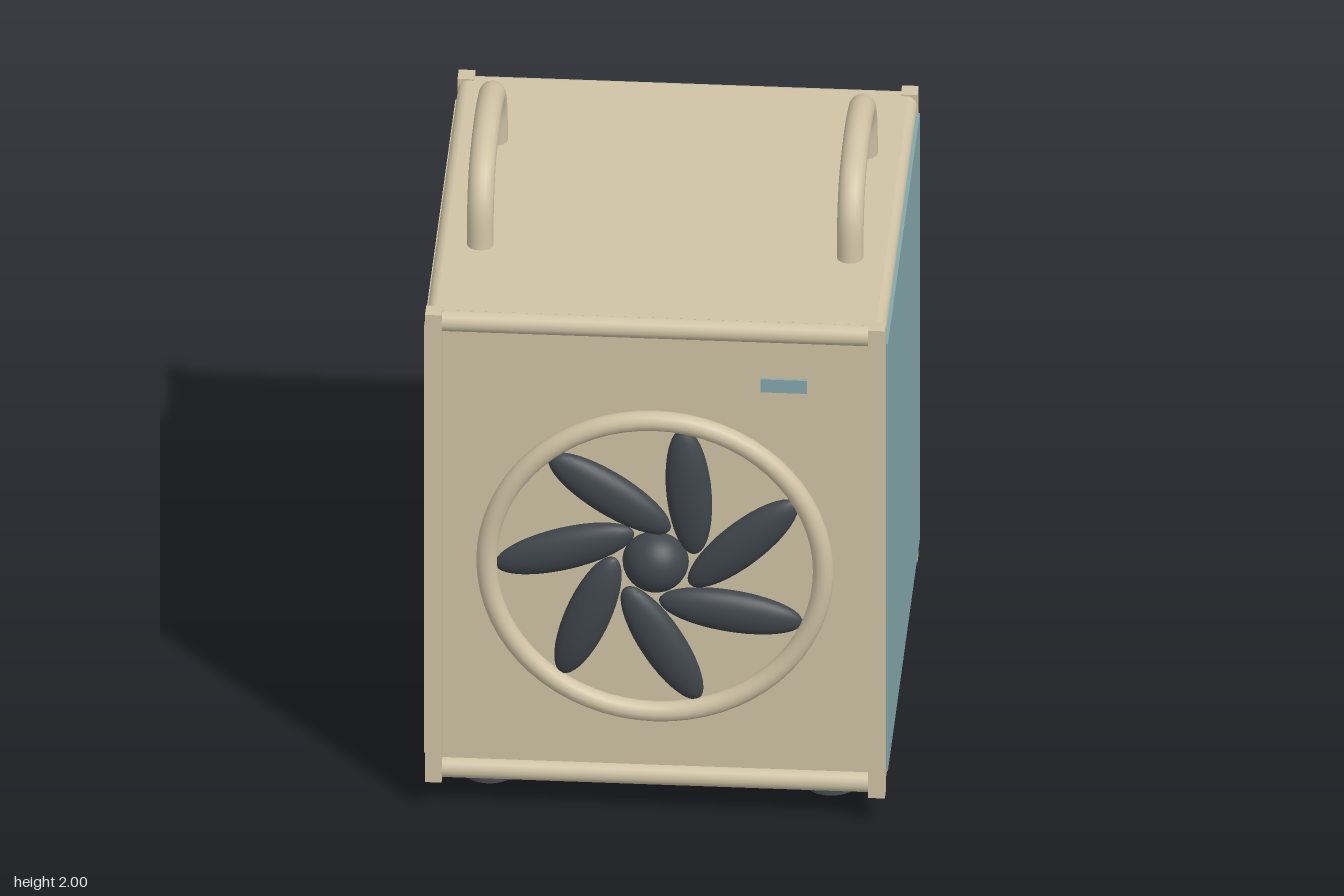
import * as THREE from 'three';

export function createModel() {
  const model = new THREE.Group();
  model.name = 'fanHeater';
  const makeMaterial = (name, color) => {
    const m = new THREE.MeshStandardMaterial({ color });
    m.name = name;
    return m;
  };
  const beige = makeMaterial('beige', 0xcfc3a5);
  const teal = makeMaterial('teal', 0x84a7ab);
  const dark = makeMaterial('charcoal', 0x3f454a);

  const add = (name, geometry, material, x = 0, y = 0, z = 0, parent = model) => {
    const mesh = new THREE.Mesh(geometry, material);
    mesh.name = name;
    mesh.position.set(x, y, z);
    parent.add(mesh);
    return mesh;
  };
  // Box given by its minimum and maximum on each axis
  const addBox = (name, material, [x0, x1], [y0, y1], [z0, z1]) =>
    add(name, new THREE.BoxGeometry(x1 - x0, y1 - y0, z1 - z0), material,
      (x0 + x1) / 2, (y0 + y1) / 2, (z0 + z1) / 2);

  // Case: recessed core, top and bottom plates, back panel
  addBox('caseCore', beige, [-0.66, 0.66], [0.12, 1.68], [-0.72, 0.66]);
  addBox('topPlate', beige, [-0.66, 0.66], [1.66, 1.71], [-0.715, 0.655]);
  addBox('bottomPlate', beige, [-0.66, 0.66], [0.093, 0.14], [-0.715, 0.655]);
  addBox('backPanel', beige, [-0.64, 0.64], [0.1, 1.66], [-0.749, -0.71]);
  addBox('leftPanel', teal, [0.65, 0.696], [0.16, 1.645], [-0.71, 0.65]);
  addBox('rightPanel', beige, [-0.696, -0.65], [0.16, 1.645], [-0.69, 0.64]);

  // Square corner posts
  for (const x of [-0.69, 0.64]) {
    for (const z of [-0.75, 0.64]) {
      addBox('cornerPost', beige, [x, x + 0.05], [0.09, 1.715], [z, z + 0.055]);
    }
  }

  // Round edge rails between the posts
  const railX = new THREE.CylinderGeometry(0.033, 0.033, 1.3, 24).rotateZ(Math.PI / 2);
  const railZ = new THREE.CylinderGeometry(0.033, 0.033, 1.36, 24).rotateX(Math.PI / 2);
  for (const y of [0.126, 1.677]) {
    for (const z of [-0.715, 0.657]) add('crossRail', railX, beige, 0, y, z);
    for (const x of [-0.656, 0.656]) add('sideRail', railZ, beige, x, y, -0.03);
  }

  // Fan: guard ring, hub and seven swept blades
  const fan = new THREE.Group();
  fan.name = 'fan';
  fan.position.set(0, 0.87, 0);
  model.add(fan);
  add('guardRing', new THREE.TorusGeometry(0.505, 0.031, 16, 64), beige, 0, 0, 0.694, fan);
  add('hub', new THREE.SphereGeometry(0.1, 32, 20), dark, 0, 0, 0.655, fan);
  const bladeGeometry = new THREE.SphereGeometry(1, 32, 20).scale(0.218, 0.068, 0.044);
  const sweep = THREE.MathUtils.degToRad(26);
  for (let i = 0; i < 7; i++) {
    const angle = THREE.MathUtils.degToRad(68.5) + (i * Math.PI * 2) / 7;
    const blade = add('blade', bladeGeometry, dark,
      0.275 * Math.cos(angle), 0.275 * Math.sin(angle), 0.68, fan);
    blade.rotation.z = angle + sweep;
  }

  // Small badge plate on the front
  addBox('badge', teal, [0.318, 0.458], [1.5, 1.545], [0.708, 0.716]);

  // Arched carrying handles
  const half = [[0.31, 1.69], [0.287, 1.84], [0.22, 1.92], [0.1, 1.953]];
  const points = [
    ...half.map(([z, y]) => new THREE.Vector3(0, y, z)),
    new THREE.Vector3(0, 1.96, 0),
    ...half.slice().reverse().map(([z, y]) => new THREE.Vector3(0, y, -z)),
  ];
  const handleGeometry = new THREE.TubeGeometry(
    new THREE.CatmullRomCurve3(points), 40, 0.04, 16);
  for (const x of [-0.555, 0.555]) add('handle', handleGeometry, beige, x, 0, -0.05);

  // Flared rubber feet
  const footGeometry = new THREE.CylinderGeometry(0.063, 0.083, 0.1, 32);
  for (const x of [-0.513, 0.513]) {
    for (const z of [-0.503, 0.455]) add('foot', footGeometry, dark, x, 0.05, z);
  }

  return model;
}
